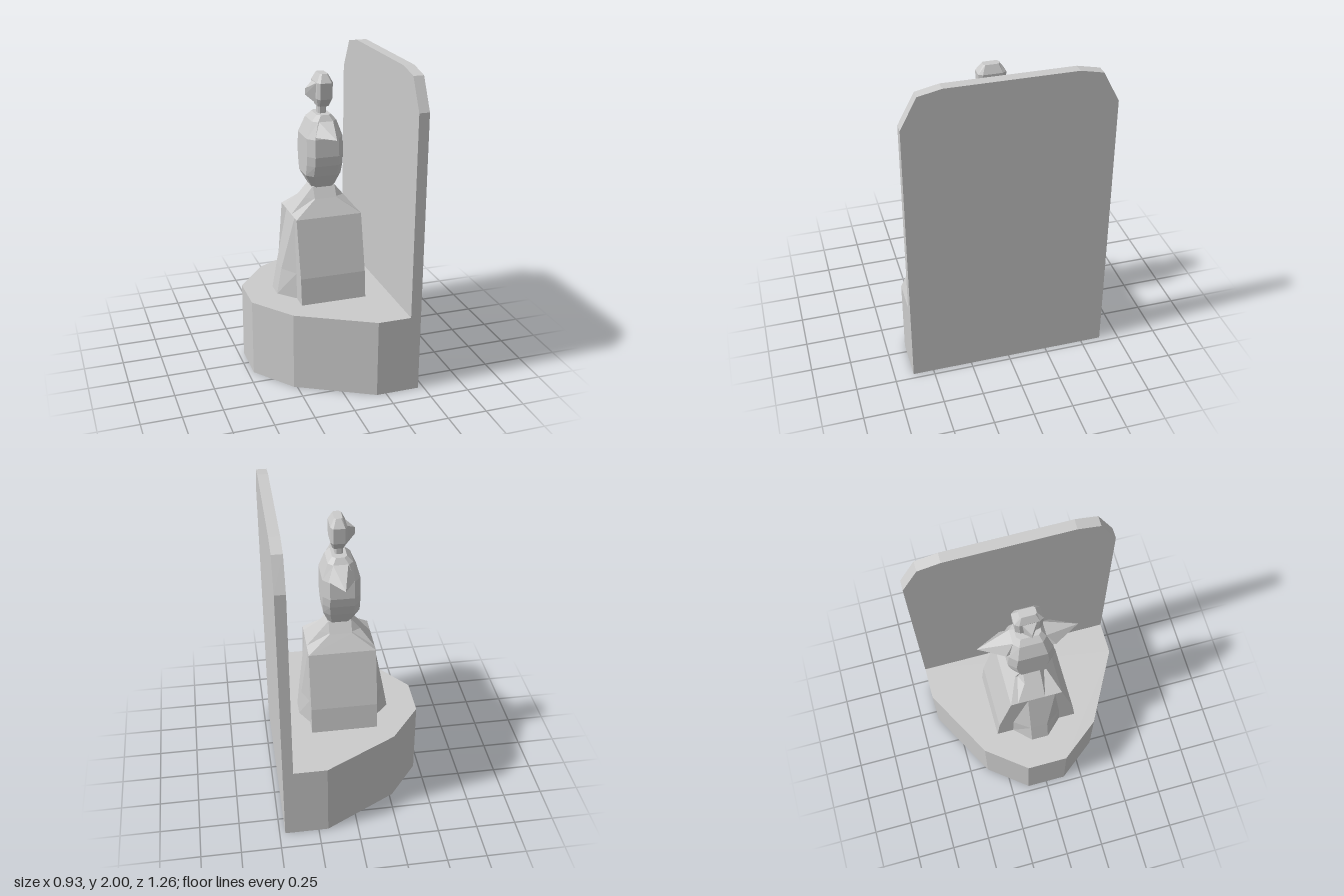
import * as THREE from 'three';
import { ConvexGeometry } from 'three/addons/geometries/ConvexGeometry.js';

const material = new THREE.MeshStandardMaterial({ color: 0xcccccc, flatShading: true });

function part(name, geometry) {
  const mesh = new THREE.Mesh(geometry, material);
  mesh.name = name;
  return mesh;
}

// Flat-sided solid through rings of [x, z] points, one ring per height
function loft(levels) {
  const pos = [];
  const put = (...pts) => pts.forEach((p) => pos.push(...p));
  const rings = levels.map(({ y, ring }) => ring.map(([x, z]) => [x, y, z]));
  const n = rings[0].length;
  const centre = (r) => [r.reduce((s, p) => s + p[0], 0) / n, r[0][1], 0];
  const low = rings[0], high = rings[rings.length - 1];
  for (let i = 0; i < n; i++) {
    const j = (i + 1) % n;
    for (let k = 0; k + 1 < rings.length; k++) {
      const a = rings[k], b = rings[k + 1];
      put(a[i], b[i], a[j], a[j], b[i], b[j]);
    }
    put(centre(low), low[i], low[j]);
    put(centre(high), high[j], high[i]);
  }
  const g = new THREE.BufferGeometry();
  g.setAttribute('position', new THREE.Float32BufferAttribute(pos, 3));
  g.computeVertexNormals();
  return g;
}

// Mirror a half outline (back to front, z > 0) across the x axis
const mirrored = (half) => [...half, ...half.map(([x, z]) => [x, -z]).reverse()];

// Chamfered rectangle: x range, half depth, corner cut in x and z
const octagon = ([y, x0, x1, z, cx, cz]) => ({
  y,
  ring: mirrored([[x1, z - cz], [x1 - cx, z], [x0 + cx, z], [x0, z - cz]]),
});

// Torso outline: front and back bulges between two arms
const torsoLevel = ([y, front, armFront, armBack, back, bulge, inner, outer]) => ({
  y,
  ring: mirrored([[back, bulge], [armBack, inner], [armBack, outer],
    [armFront, outer], [armFront, inner], [front, bulge]]),
});

const polygon = (points) => new THREE.Shape(points.map(([x, y]) => new THREE.Vector2(x, y)));
const hull = (points) => new ConvexGeometry(points.map((p) => new THREE.Vector3(...p)));

export function createModel() {
  const model = new THREE.Group();

  // Plinth
  const plinth = new THREE.ExtrudeGeometry(
    polygon(mirrored([[0.4, 0.63], [0.19, 0.63], [-0.27, 0.38], [-0.465, 0.13]])),
    { depth: 0.5, bevelEnabled: false });
  plinth.rotateX(-Math.PI / 2);
  model.add(part('plinth', plinth));

  // Upright back panel with clipped top corners
  const panel = new THREE.ExtrudeGeometry(
    polygon([[-0.63, 0], [0.63, 0], [0.63, 1.78], [0.53, 1.97], [0.39, 2],
      [-0.39, 2], [-0.53, 1.97], [-0.63, 1.78]]),
    { depth: 0.065, bevelEnabled: false });
  panel.rotateY(Math.PI / 2).translate(0.4, 0, 0);
  model.add(part('backPanel', panel));

  // Torso with shoulders and neck
  model.add(part('torso', loft([
    [0.5, -0.28, -0.18, 0.24, 0.3, 0.055, 0.16, 0.268],
    [0.67, -0.25, -0.18, 0.24, 0.282, 0.055, 0.155, 0.25],
    [1.03, -0.18, -0.18, 0.24, 0.24, 0.055, 0.12, 0.165],
    [1.13, -0.098, -0.04, 0.1, 0.158, 0.055, 0.085, 0.1],
    [1.2, -0.04, -0.04, 0.1, 0.1, 0.05, 0.053, 0.058],
  ].map(torsoLevel))));

  // Head
  model.add(part('head', loft([
    [1.19, -0.04, 0.1, 0.06, 0.02, 0.02],
    [1.28, -0.09, 0.135, 0.11, 0.04, 0.04],
    [1.35, -0.09, 0.14, 0.135, 0.04, 0.045],
    [1.41, -0.09, 0.14, 0.145, 0.04, 0.045],
    [1.52, -0.09, 0.14, 0.135, 0.04, 0.045],
    [1.62, -0.05, 0.105, 0.1, 0.03, 0.03],
    [1.655, -0.015, 0.075, 0.075, 0.02, 0.02],
  ].map(octagon))));

  // Pointed ears
  for (const [name, s] of [['leftEar', 1], ['rightEar', -1]]) {
    model.add(part(name, hull([
      [-0.05, 1.54, 0.15 * s], [0.11, 1.54, 0.15 * s],
      [-0.015, 1.62, 0.1 * s], [0.075, 1.62, 0.1 * s],
      [-0.03, 1.54, 0.07 * s], [0.09, 1.54, 0.07 * s],
      [0.03, 1.56, 0.305 * s],
    ])));
  }

  // Topknot: stalk, small head and pointed front
  model.add(part('topknotStalk', loft([
    [1.64, 0.005, 0.055, 0.03, 0.01, 0.01],
    [1.71, 0.005, 0.055, 0.03, 0.01, 0.01],
  ].map(octagon))));
  model.add(part('topknot', loft([
    [1.7, 0.0, 0.07, 0.045, 0.01, 0.015],
    [1.75, -0.015, 0.085, 0.08, 0.015, 0.025],
    [1.85, -0.015, 0.085, 0.085, 0.015, 0.025],
    [1.9, 0.01, 0.06, 0.05, 0.01, 0.01],
  ].map(octagon))));
  model.add(part('topknotPoint', hull([
    [-0.01, 1.85, 0.045], [-0.01, 1.85, -0.045],
    [0.0, 1.71, 0.04], [0.0, 1.71, -0.04],
    [-0.07, 1.81, 0], [-0.07, 1.77, 0],
  ])));

  return model;
}
